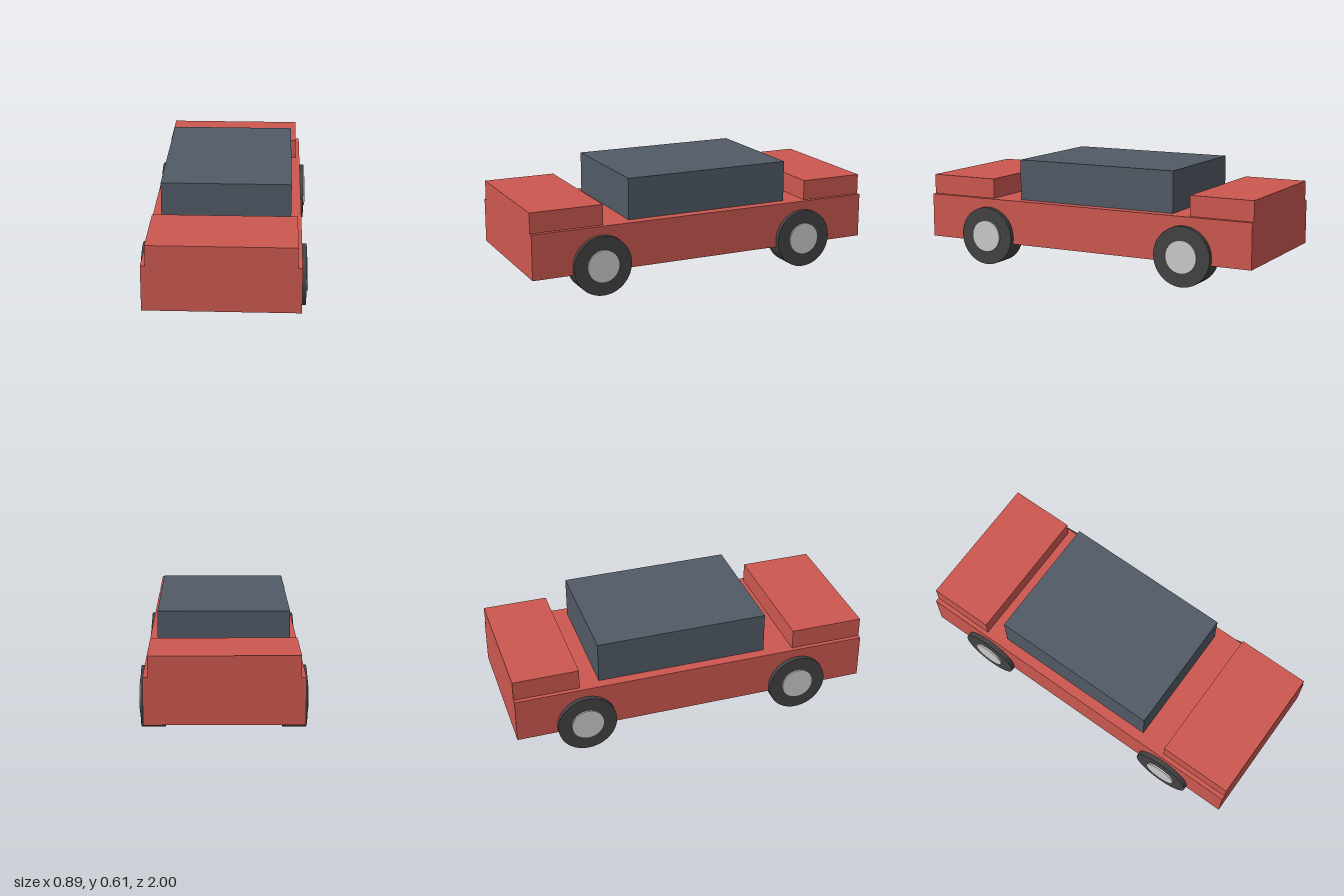
import * as THREE from 'three';

const paint = new THREE.MeshStandardMaterial({ color: 0xcc5850 });
const glass = new THREE.MeshStandardMaterial({ color: 0x515a66 });
const rubber = new THREE.MeshStandardMaterial({ color: 0x434343 });
const metal = new THREE.MeshStandardMaterial({ color: 0xcccccc });

// Box given by its width and its y and z ranges, centred on x = 0
function block(name, width, [y0, y1], [z0, z1], material) {
  const mesh = new THREE.Mesh(new THREE.BoxGeometry(width, y1 - y0, z1 - z0), material);
  mesh.position.set(0, (y0 + y1) / 2, (z0 + z1) / 2);
  mesh.name = name;
  return mesh;
}

// Disc lying along x, from x0 to x1
function disc(name, radius, x0, x1, material) {
  const geometry = new THREE.CylinderGeometry(radius, radius, x1 - x0, 48).rotateZ(-Math.PI / 2);
  const mesh = new THREE.Mesh(geometry, material);
  mesh.position.x = (x0 + x1) / 2;
  mesh.name = name;
  return mesh;
}

// Wheel with its hub on the outer side (side = 1 is left, -1 is right)
function wheel(name, side, z) {
  const group = new THREE.Group();
  group.name = name;
  group.add(disc('tyre', 0.164, 0.31, 0.435, rubber));
  group.add(disc('hub', 0.09, 0.40, 0.444, metal));
  group.position.set(0, 0.164, z);
  if (side < 0) group.rotation.y = Math.PI;
  return group;
}

export function createModel() {
  const car = new THREE.Group();
  car.name = 'car';

  // Body
  car.add(block('lowerBody', 0.818, [0.127, 0.376], [-1, 1], paint));
  car.add(block('hood', 0.77, [0.376, 0.488], [0.592, 1], paint));
  car.add(block('trunk', 0.77, [0.376, 0.488], [-1, -0.638], paint));
  car.add(block('cabin', 0.704, [0.376, 0.605], [-0.523, 0.431], glass));

  // Wheels
  for (const [end, z] of [['front', 0.613], ['rear', -0.613]]) {
    car.add(wheel(end + 'LeftWheel', 1, z), wheel(end + 'RightWheel', -1, z));
  }
  return car;
}
